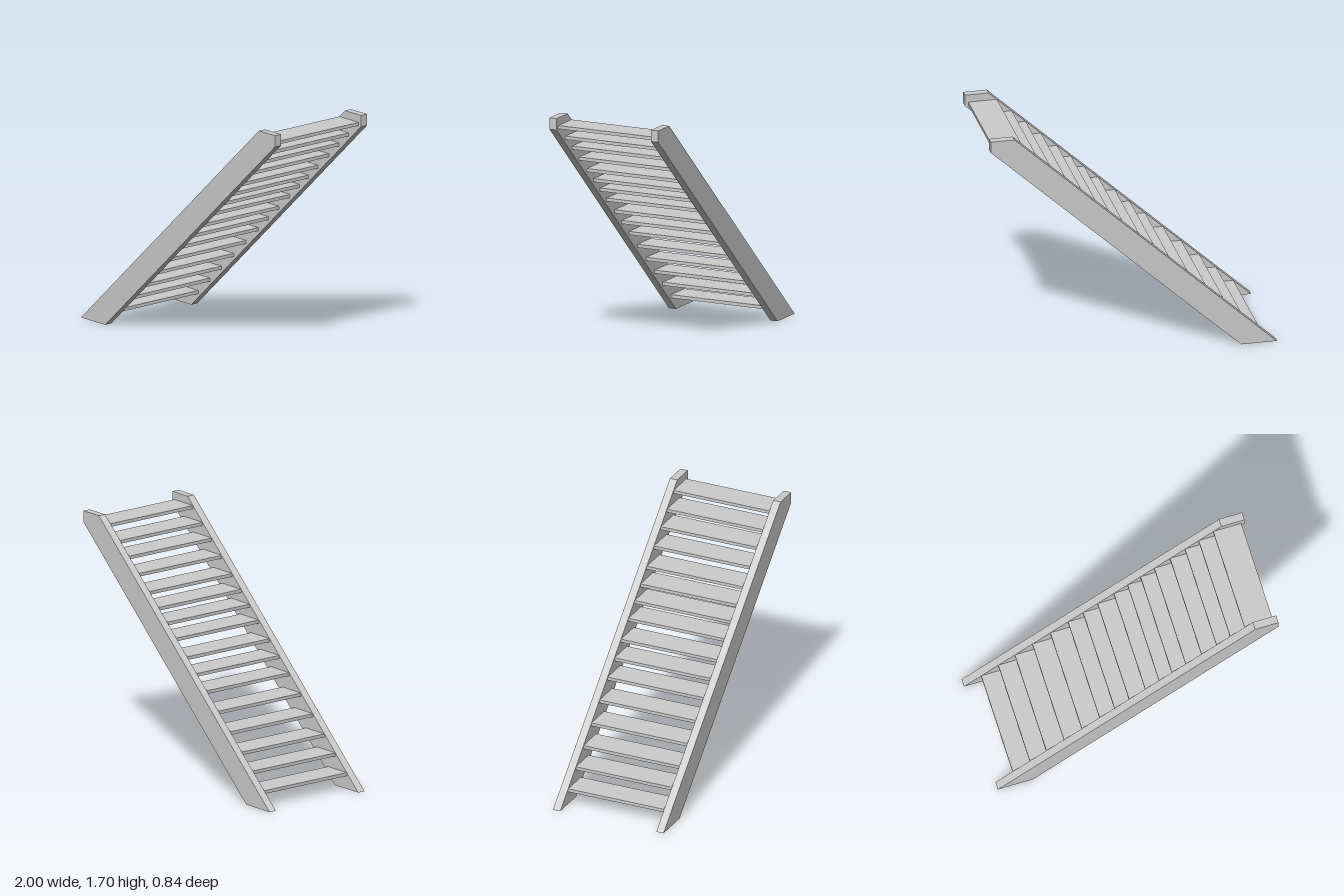
import * as THREE from 'three';

const material = new THREE.MeshStandardMaterial({ color: 0xcccccc, flatShading: true });
const INNER = 0.363, OUTER = 0.418;

export function createModel() {
  const model = new THREE.Group();
  model.name = 'openStaircase';

  // Sloping side boards, cut flat at the floor and at the upper landing
  const profile = new THREE.Shape([
    [-1, 0], [-0.75, 0], [1, 1.62], [1, 1.7], [0.835, 1.7],
  ].map(([x, y]) => new THREE.Vector2(x, y)));
  const boardGeometry = new THREE.ExtrudeGeometry(profile, { depth: OUTER - INNER, bevelEnabled: false });
  for (const [name, z] of [['frontStringer', INNER], ['backStringer', -OUTER]]) {
    const board = new THREE.Mesh(boardGeometry, material);
    board.name = name;
    board.position.z = z;
    model.add(board);
  }

  // Treads follow the slope at slightly uneven heights
  const heights = [0.104, 0.217, 0.326, 0.442, 0.56, 0.677, 0.776, 0.872,
    0.979, 1.07, 1.155, 1.246, 1.35, 1.449, 1.539, 1.635];
  const depth = 0.2;
  const treadGeometry = new THREE.BoxGeometry(depth, 0.023, 2 * INNER);
  const treads = new THREE.Group();
  treads.name = 'treads';
  heights.forEach((y, i) => {
    const tread = new THREE.Mesh(treadGeometry, material);
    tread.name = `tread${i + 1}`;
    tread.position.set(-0.877 + (y - heights[0]) * 1.08 + depth / 2, y, 0);
    treads.add(tread);
  });
  model.add(treads);

  return model;
}
